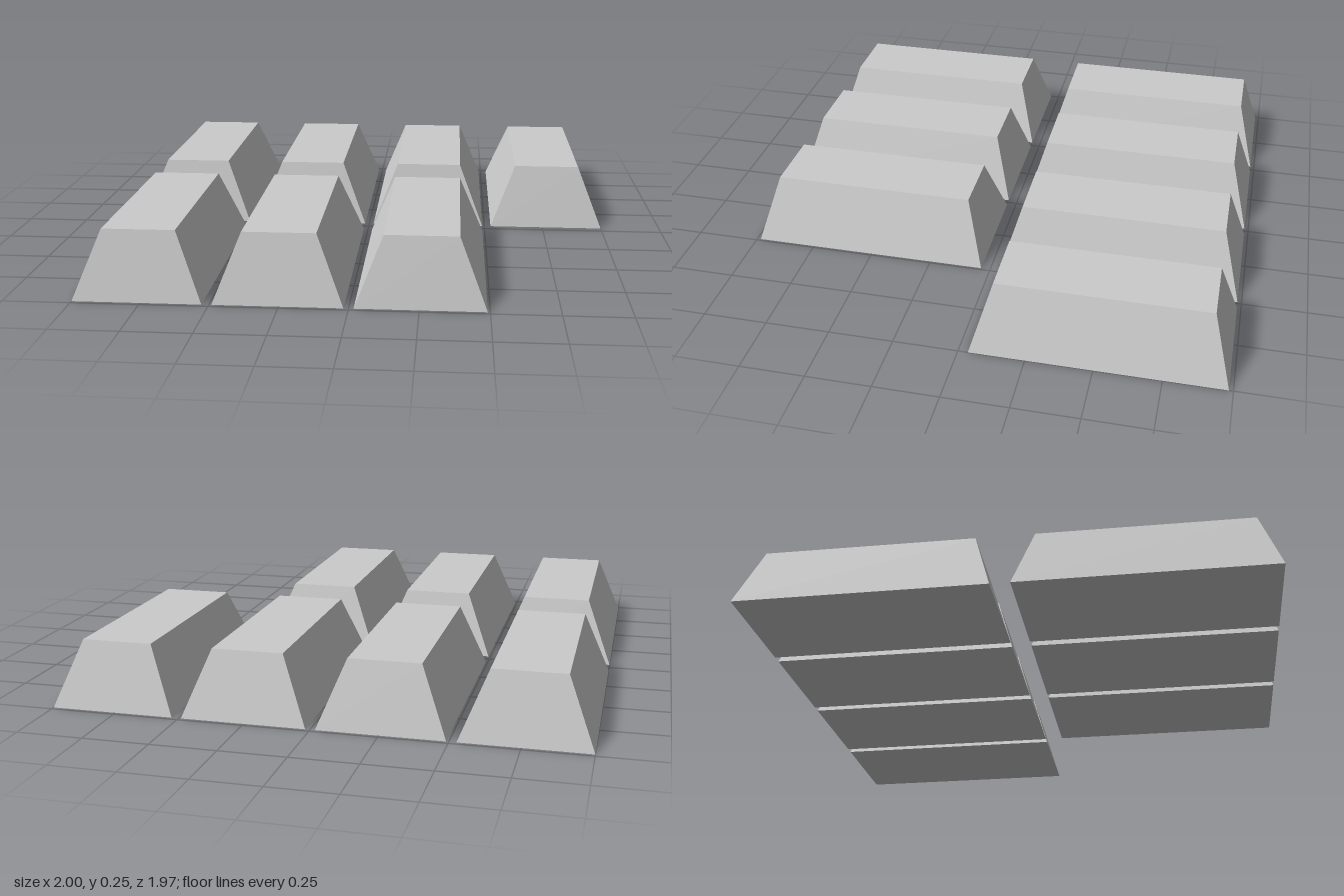
import * as THREE from 'three';

const HEIGHT = 0.253;
const BASE = { x: 0.473, z: 0.947 };
const TOP = { x: 0.27, z: 0.8 };
const PITCH = { x: 0.509, z: 1.022 };

// Cast bar: a box whose top face is drawn in on all four sides
function ingotGeometry() {
  const box = new THREE.BoxGeometry(BASE.x, HEIGHT, BASE.z).translate(0, HEIGHT / 2, 0);
  const pos = box.attributes.position;
  for (let i = 0; i < pos.count; i++) {
    if (pos.getY(i) > HEIGHT / 2) {
      pos.setX(i, Math.sign(pos.getX(i)) * TOP.x / 2);
      pos.setZ(i, Math.sign(pos.getZ(i)) * TOP.z / 2);
    }
  }
  box.computeVertexNormals();
  return box;
}

export function createModel() {
  const model = new THREE.Group();
  model.name = 'ingots';
  const geometry = ingotGeometry();
  const material = new THREE.MeshStandardMaterial({ color: 0xcccccc, flatShading: true });

  // Back row of four, front row of three with the +x place left empty
  const rows = [
    { name: 'backIngot', z: -PITCH.z / 2, count: 4 },
    { name: 'frontIngot', z: PITCH.z / 2, count: 3 },
  ];
  for (const row of rows) {
    for (let i = 0; i < row.count; i++) {
      const ingot = new THREE.Mesh(geometry, material);
      ingot.name = `${row.name}${i + 1}`;
      ingot.position.set((i - 1.5) * PITCH.x, 0, row.z);
      model.add(ingot);
    }
  }
  return model;
}
